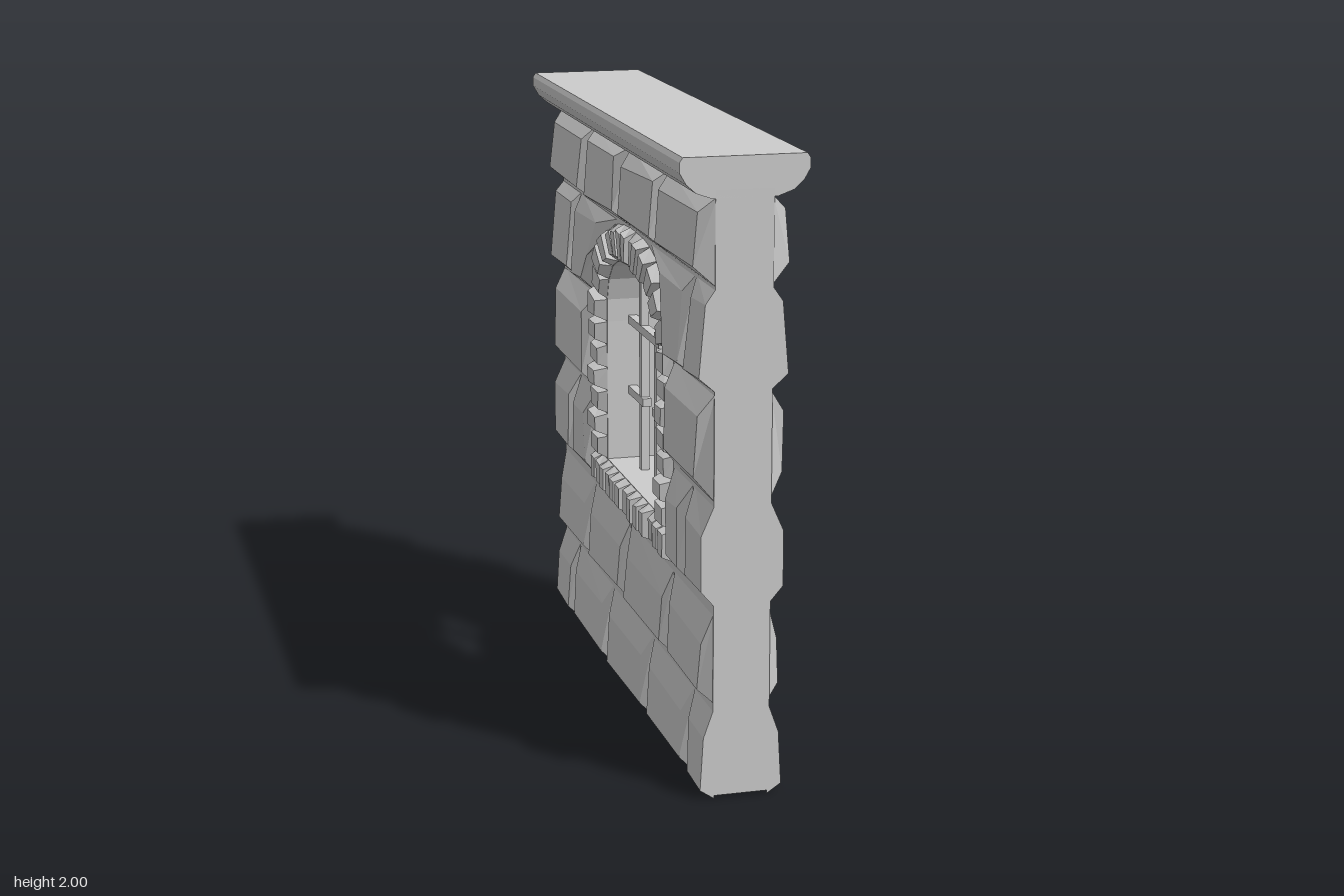
import * as THREE from 'three';

const material = new THREE.MeshStandardMaterial({ color: 0xcccccc, flatShading: true });
const CORE = 0.09; // half thickness of the wall core

// Small seeded generator for hand-cut irregularity
let seed = 7;
function jitter(amount) {
  seed = (seed * 16807) % 2147483647;
  return (seed / 2147483647 - 0.5) * 2 * amount;
}

function addMesh(parent, geometry, name) {
  const mesh = new THREE.Mesh(geometry, material);
  mesh.name = name;
  parent.add(mesh);
  return mesh;
}

// Bevelled stone: outline on the core and smaller face outline, both [z, y].
// lift gives the face's distance from the wall centre at its bottom and top.
function stoneGeometry(base, face, lift, side) {
  const toVec = ([z, y]) => new THREE.Vector2(-z, y);
  let outer = base.map(toVec), inner = face.map(toVec);
  if (THREE.ShapeUtils.isClockWise(outer)) {
    outer.reverse();
    inner.reverse();
  }
  const ys = inner.map(p => p.y), low = Math.min(...ys), high = Math.max(...ys);
  const n = outer.length, positions = [];
  const corner = i => {
    const p = i < n ? outer[i] : inner[i - n];
    const x = i < n ? CORE - 0.005
      : THREE.MathUtils.lerp(lift[0], lift[1], (p.y - low) / (high - low));
    return [x * side, p.y, -p.x];
  };
  const tri = (a, b, c) => {
    for (const i of side > 0 ? [a, b, c] : [a, c, b]) positions.push(...corner(i));
  };
  for (let i = 0; i < n; i++) {
    const j = (i + 1) % n;
    tri(i, j, n + j);
    tri(i, n + j, n + i);
  }
  for (const [a, b, c] of THREE.ShapeUtils.triangulateShape(inner, [])) tri(n + a, n + b, n + c);
  const geometry = new THREE.BufferGeometry();
  geometry.setAttribute('position', new THREE.Float32BufferAttribute(positions, 3));
  geometry.computeVertexNormals();
  return geometry;
}

// Same stone on both faces of the wall
function addStone(parent, name, base, face, lift) {
  for (const side of [1, -1]) addMesh(parent, stoneGeometry(base, face, lift, side), name);
}

// Point on a squared arch about (cz, 1.22), seen along a given angle
function archPoint(angle, cz, a, b, p) {
  const c = Math.cos(angle), s = Math.sin(angle);
  const r = 1 / Math.pow(Math.pow(Math.abs(c) / a, p) + Math.pow(Math.abs(s) / b, p), 1 / p);
  return [cz + r * c, 1.22 + r * s];
}
const innerArch = t => archPoint(t, 0.035, 0.375, 0.26, 3);
const outerArch = t => archPoint(t, 0.025, 0.515, 0.39, 2.5);

function buildCore() {
  const shape = new THREE.Shape();
  shape.moveTo(-1, 0.01).lineTo(1, 0.01).lineTo(1, 1.9).lineTo(-1, 1.9).closePath();
  const opening = [[-0.34, 0.73], [0.41, 0.73]];
  for (let i = 0; i <= 15; i++) opening.push(innerArch(Math.PI * i / 15));
  shape.holes.push(new THREE.Path(opening.map(p => new THREE.Vector2(...p))));
  const geometry = new THREE.ExtrudeGeometry(shape, { depth: 2 * CORE, bevelEnabled: false });
  return geometry.translate(0, 0, -CORE).rotateY(-Math.PI / 2);
}

function buildCap() {
  const half = [[0.1, 1.875], [0.15, 1.893], [0.18, 1.92], [0.2, 1.955], [0.2, 1.985], [0.19, 2]];
  const outline = [...half, ...half.map(([x, y]) => [-x, y]).reverse()];
  const shape = new THREE.Shape(outline.map(p => new THREE.Vector2(...p)));
  return new THREE.ExtrudeGeometry(shape, { depth: 2, bevelEnabled: false }).translate(0, 0, -1);
}

function buildCourses(parent) {
  // Each course: height range, bottom and top bevel, lift, stone spans in z, ends cut flush or not
  const courses = [
    { y: [0, 0.3], bevel: [0.04, 0.1], lift: [0.13, 0.12], flush: true,
      spans: [[1, 0.79], [0.79, 0.29], [0.29, -0.26], [-0.26, -0.77], [-0.77, -1]] },
    { y: [0.31, 0.61], bevel: [0.04, 0.11], lift: [0.13, 0.12], flush: false,
      spans: [[1, 0.545], [0.545, -0.01], [-0.01, -0.52], [-0.52, -1]] },
    { y: [0.62, 0.95], bevel: [0.05, 0.1], lift: [0.13, 0.13], flush: true,
      spans: [[1, 0.77], [0.77, 0.54], [-0.49, -0.74], [-0.74, -1]] },
    { y: [0.95, 1.29], bevel: [0.06, 0.07], lift: [0.14, 0.135], flush: false,
      spans: [[1, 0.54], [-0.49, -1]] },
    { y: [1.29, 1.61], bevel: [0.04, 0.05], lift: [0.14, 0.12], flush: true,
      spans: [[1, 0.785], [-0.72, -1]] },
    { y: [1.61, 1.88], bevel: [0.05, 0.05], lift: [0.15, 0.135], flush: false,
      spans: [[1, 0.48], [0.48, 0], [0, -0.485], [-0.485, -1]] },
  ];
  for (const { y: [y0, y1], bevel, lift, flush, spans } of courses) {
    for (const [z0, z1] of spans) {
      const inset = z => (flush && Math.abs(z) === 1 ? 0 : 0.045 + jitter(0.015));
      const base = [[z0, y0], [z1, y0], [z1, y1], [z0, y1]];
      const face = [
        [z0 - inset(z0), y0 + bevel[0] + jitter(0.01)], [z1 + inset(z1), y0 + bevel[0] + jitter(0.01)],
        [z1 + inset(z1), y1 - bevel[1] + jitter(0.01)], [z0 - inset(z0), y1 - bevel[1] + jitter(0.01)],
      ];
      addStone(parent, 'wallStone', base, face, lift);
    }
  }
  // Stones cut to the curve on both sides of the arch
  addStone(parent, 'archShoulderStone',
    [[0.785, 1.29], [0.785, 1.61], [0.22, 1.61], [0.435, 1.5], [0.54, 1.29]],
    [[0.75, 1.33], [0.74, 1.55], [0.47, 1.555], [0.52, 1.45], [0.58, 1.32]], [0.14, 0.12]);
  addStone(parent, 'archShoulderStone',
    [[-0.72, 1.29], [-0.72, 1.61], [-0.17, 1.61], [-0.385, 1.5], [-0.49, 1.29]],
    [[-0.68, 1.33], [-0.69, 1.55], [-0.38, 1.56], [-0.47, 1.43], [-0.53, 1.34]], [0.14, 0.12]);
}

function buildTrim(parent) {
  // Shrink a trim block's outline toward its middle to get its face
  const block = (name, base) => {
    const mid = [0, 1].map(k => base.reduce((sum, p) => sum + p[k], 0) / 4);
    const face = base.map(p => p.map((v, k) => mid[k] + (v - mid[k]) * (0.66 + jitter(0.1))));
    const lift = 0.125 + jitter(0.008);
    addStone(parent, name, base, face, [lift, lift]);
  };
  const arch = 15, jamb = 6, sill = 13;
  for (let i = 0; i < arch; i++) {
    const a = Math.PI * i / arch, b = Math.PI * (i + 1) / arch;
    block('archStone', [innerArch(a), outerArch(a), outerArch(b), innerArch(b)]);
  }
  for (const [zIn, zOut] of [[0.41, 0.54], [-0.34, -0.49]]) {
    for (let i = 0; i < jamb; i++) {
      const y0 = 0.73 + 0.49 * i / jamb, y1 = 0.73 + 0.49 * (i + 1) / jamb;
      block('jambStone', [[zIn, y0], [zOut, y0], [zOut, y1], [zIn, y1]]);
    }
  }
  for (let i = 0; i < sill; i++) {
    const z0 = 0.54 - 1.03 * i / sill, z1 = 0.54 - 1.03 * (i + 1) / sill;
    block('sillStone', [[z0, 0.62], [z1, 0.62], [z1, 0.73], [z0, 0.73]]);
  }
}

function buildBars(parent) {
  const size = 0.028;
  // Upright bars and broken stubs: z, bottom, top
  for (const [z, y0, y1] of [[0.22, 0.72, 1.065], [0.22, 1.345, 1.49], [0.02, 0.72, 1.255],
    [0.02, 1.425, 1.49], [-0.18, 0.72, 1.48]]) {
    addMesh(parent, new THREE.BoxGeometry(size, y1 - y0, size), 'uprightBar').position.set(0, (y0 + y1) / 2, z);
  }
  // Cross bars and broken stubs: y, two ends in z
  for (const [y, z0, z1] of [[0.975, 0.42, -0.02], [0.975, -0.14, -0.35], [1.225, 0.42, 0.38],
    [1.225, 0.07, -0.35]]) {
    addMesh(parent, new THREE.BoxGeometry(size * 1.1, size, z0 - z1), 'crossBar').position.set(0, y, (z0 + z1) / 2);
  }
}

export function createModel() {
  seed = 7;
  const model = new THREE.Group();
  model.name = 'stoneWallWithWindow';
  const part = (name, build) => {
    const group = new THREE.Group();
    group.name = name;
    build(group);
    model.add(group);
  };
  addMesh(model, buildCore(), 'wallCore');
  addMesh(model, buildCap(), 'copingCap');
  part('stoneCourses', buildCourses);
  part('windowTrim', buildTrim);
  part('windowBars', buildBars);
  return model;
}
